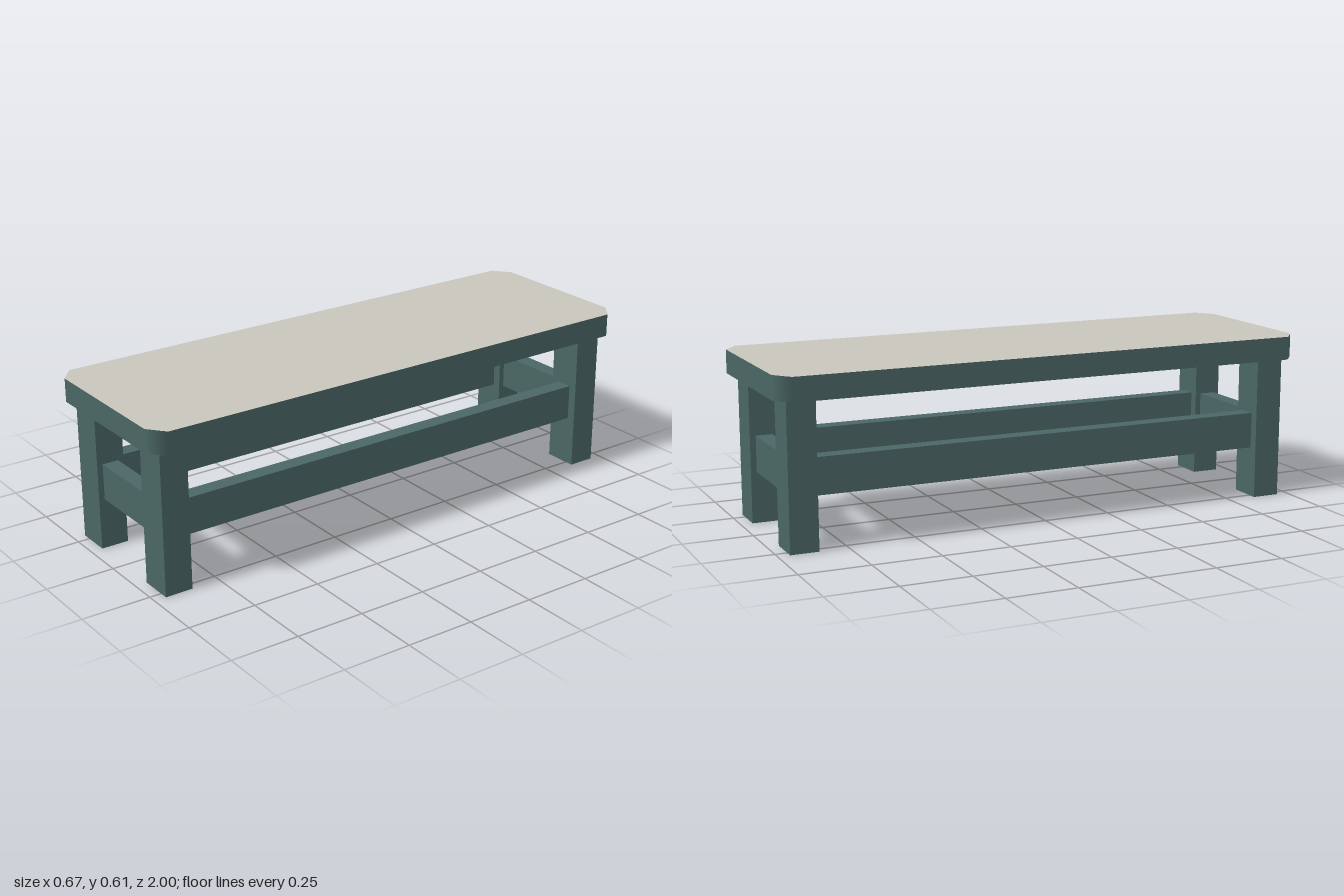
import * as THREE from 'three';

export function createModel() {
  const bench = new THREE.Group();
  bench.name = 'bench';

  const teal = new THREE.MeshStandardMaterial({ color: 0x4a6765 });
  teal.name = 'teal paint';
  const beige = new THREE.MeshStandardMaterial({ color: 0xc8c6bc });
  beige.name = 'beige top';

  const seatBottom = 0.525, seatTop = 0.61;
  const halfW = 0.333, halfL = 1, cutX = 0.062, cutZ = 0.05;
  const legX = 0.2185, legZ = 0.906, legW = 0.127, legD = 0.102;
  const railY = 0.2505, railH = 0.132, railT = 0.06;

  function addBox(name, w, h, d, x, y, z) {
    const mesh = new THREE.Mesh(new THREE.BoxGeometry(w, h, d), teal);
    mesh.name = name;
    mesh.position.set(x, y, z);
    bench.add(mesh);
  }

  // Seat slab: rectangle with cut corners
  const a = halfW - cutX, b = halfL - cutZ;
  const outline = new THREE.Shape([
    [a, -halfL], [halfW, -b], [halfW, b], [a, halfL],
    [-a, halfL], [-halfW, b], [-halfW, -b], [-a, -halfL],
  ].map(([x, y]) => new THREE.Vector2(x, y)));
  const slab = new THREE.ExtrudeGeometry(outline, { depth: seatTop - seatBottom, bevelEnabled: false });
  slab.rotateX(-Math.PI / 2);
  slab.translate(0, seatBottom, 0);

  // Blend the cut corners smoothly into the straight sides
  const pos = slab.attributes.position, nor = slab.attributes.normal;
  for (let i = 0; i < pos.count; i++) {
    if (Math.abs(nor.getY(i)) > 0.5) continue;
    if (Math.abs(pos.getZ(i)) > halfL - 0.001) nor.setXYZ(i, 0, 0, Math.sign(pos.getZ(i)));
    else nor.setXYZ(i, Math.sign(pos.getX(i)), 0, 0);
  }

  // Split the caps so that only the upper face is beige
  const capCount = slab.groups[0].count, sideCount = slab.groups[1].count;
  const firstIsTop = nor.getY(0) > 0;
  slab.clearGroups();
  slab.addGroup(0, capCount / 2, firstIsTop ? 1 : 0);
  slab.addGroup(capCount / 2, capCount / 2, firstIsTop ? 0 : 1);
  slab.addGroup(capCount, sideCount, 0);
  const seat = new THREE.Mesh(slab, [teal, beige]);
  seat.name = 'seat';
  bench.add(seat);

  // Four legs, two side rails, two end rails
  for (const s of [-1, 1]) {
    const side = s > 0 ? 'left' : 'right', end = s > 0 ? 'front' : 'back';
    for (const t of [-1, 1]) {
      addBox(`${side} ${t > 0 ? 'front' : 'back'} leg`, legW, seatBottom, legD, s * legX, seatBottom / 2, t * legZ);
    }
    addBox(`${side} rail`, railT, railH, 2 * legZ - legD, s * legX, railY, 0);
    addBox(`${end} rail`, 2 * legX - legW, railH, railT, 0, railY, s * legZ);
  }
  return bench;
}
